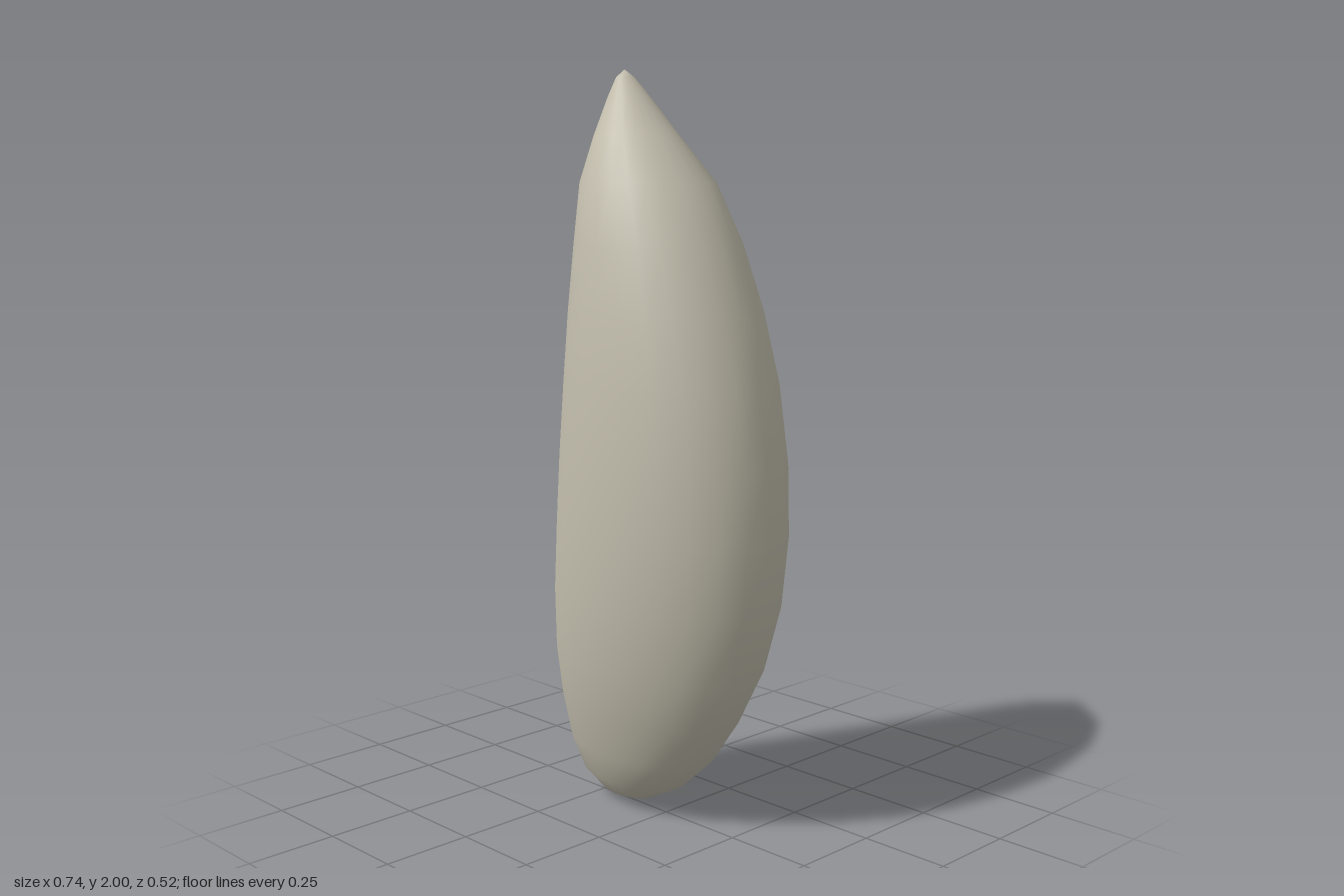
import * as THREE from 'three';

// Cross-sections from bottom to top: [height, left edge x, right edge x, half depth]
const RINGS = [
  [0.025, -0.24, -0.06, 0.05],
  [0.08, -0.305, 0.045, 0.097],
  [0.17, -0.345, 0.145, 0.137],
  [0.30, -0.365, 0.235, 0.18],
  [0.44, -0.373, 0.305, 0.215],
  [0.62, -0.362, 0.353, 0.243],
  [0.81, -0.34, 0.37, 0.256],
  [1.00, -0.317, 0.36, 0.261],
  [1.20, -0.295, 0.327, 0.254],
  [1.38, -0.275, 0.27, 0.24],
  [1.55, -0.258, 0.2, 0.215],
  [1.71, -0.245, 0.11, 0.18],
  [1.83, -0.22, 0.0, 0.115],
  [1.93, -0.192, -0.085, 0.058],
  [1.98, -0.175, -0.13, 0.026],
];
const SEGMENTS = 24;

// Skins elliptical rings, closed with a point at each end
function loftGeometry(rings, bottom, top) {
  const positions = [...bottom];
  for (const [y, left, right, depth] of rings) {
    for (let i = 0; i < SEGMENTS; i++) {
      const a = (i / SEGMENTS) * Math.PI * 2;
      positions.push(
        (left + right) / 2 + ((right - left) / 2) * Math.cos(a),
        y,
        depth * Math.sin(a)
      );
    }
  }
  positions.push(...top);

  const at = (ring, i) => 1 + ring * SEGMENTS + (i % SEGMENTS);
  const last = rings.length - 1;
  const topIndex = 1 + rings.length * SEGMENTS;
  const index = [];
  for (let i = 0; i < SEGMENTS; i++) {
    index.push(0, at(0, i), at(0, i + 1));
    for (let r = 0; r < last; r++) {
      index.push(at(r, i), at(r + 1, i), at(r, i + 1));
      index.push(at(r + 1, i), at(r + 1, i + 1), at(r, i + 1));
    }
    index.push(at(last, i), topIndex, at(last, i + 1));
  }

  const geometry = new THREE.BufferGeometry();
  geometry.setAttribute('position', new THREE.Float32BufferAttribute(positions, 3));
  geometry.setIndex(index);
  geometry.computeVertexNormals();
  return geometry;
}

export function createModel() {
  const group = new THREE.Group();
  group.name = 'seed';

  const husk = new THREE.MeshStandardMaterial({ color: 0xc4bfae });
  husk.name = 'pale husk';

  // Lopsided body: nearly straight on one side, bulging on the other
  const body = new THREE.Mesh(
    loftGeometry(RINGS, [-0.155, 0, 0], [-0.155, 2, 0]),
    husk
  );
  body.name = 'seedBody';
  group.add(body);

  return group;
}
